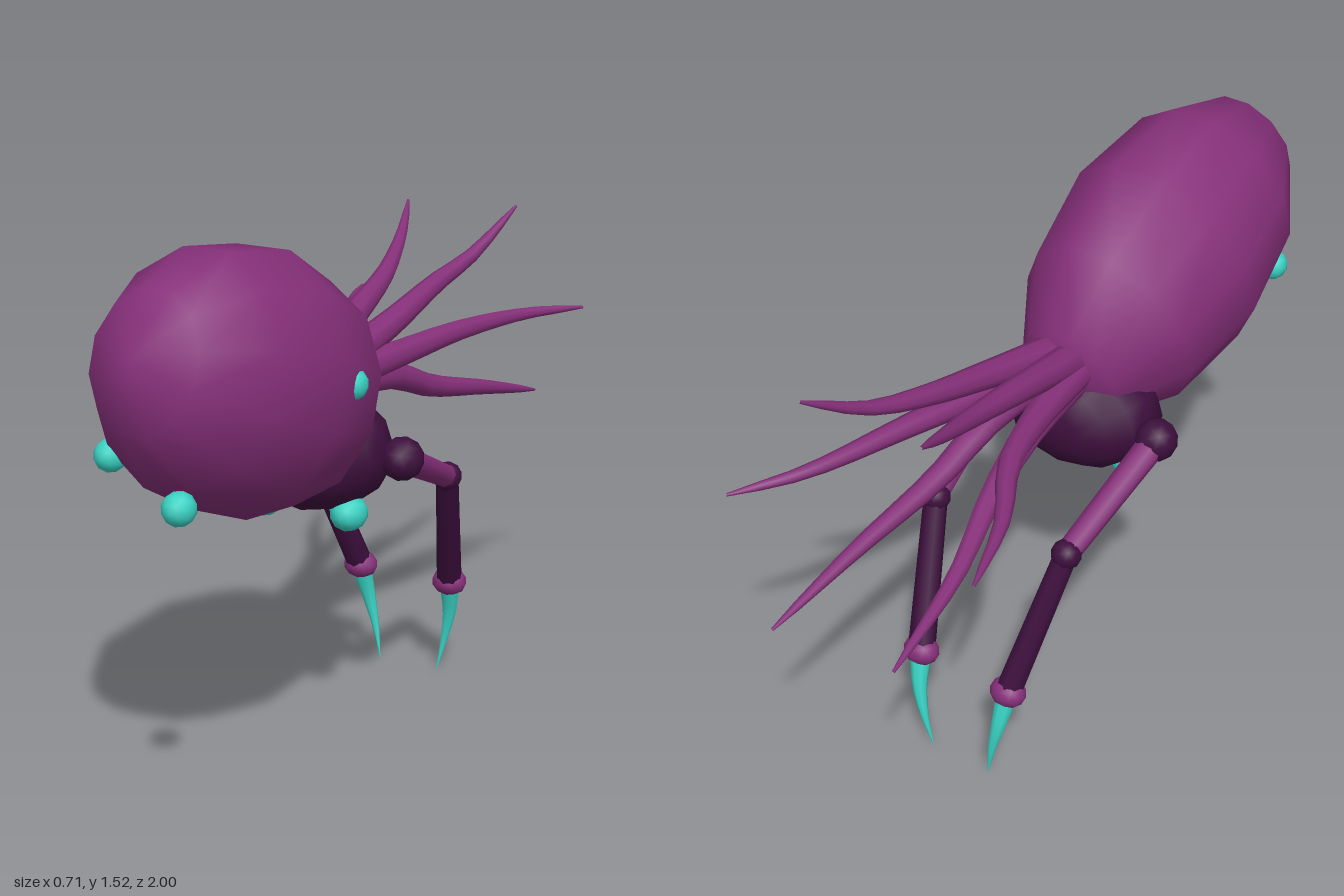
import * as THREE from 'three';

const V = (x, y, z) => new THREE.Vector3(x, y, z);

export function createModel() {
  const group = new THREE.Group();
  const mat = (name, color) => {
    const m = new THREE.MeshStandardMaterial({ color });
    m.name = name;
    return m;
  };
  const purple = mat('purple skin', 0x86307a);
  const dark = mat('dark plum', 0x3d0f3d);
  const teal = mat('teal glow', 0x3ad3c4);

  const add = (name, geometry, material, pos) => {
    const mesh = new THREE.Mesh(geometry, material);
    mesh.name = name;
    if (pos) mesh.position.copy(pos);
    group.add(mesh);
    return mesh;
  };

  // Small rounded ball with a vertex facing forward
  const ball = (name, pos, rx, ry, rz, material) => {
    const g = new THREE.IcosahedronGeometry(1, 1);
    g.rotateX(Math.atan(2 / (1 + Math.sqrt(5))));
    g.scale(rx, ry, rz);
    return add(name, g, material, pos);
  };

  // Straight limb from a to b
  const limb = (name, a, b, ra, rb, material) => {
    const d = b.clone().sub(a);
    const mesh = add(name, new THREE.CylinderGeometry(rb, ra, d.length(), 8), material,
      a.clone().add(b).multiplyScalar(0.5));
    mesh.quaternion.setFromUnitVectors(V(0, 1, 0), d.normalize());
  };

  // Curved tube whose radius follows the function radius(t)
  const taper = (name, points, radius, steps, sides, material) => {
    const path = new THREE.CatmullRomCurve3(points);
    const g = new THREE.TubeGeometry(path, steps, 1, sides);
    const p = g.attributes.position;
    const v = V(0, 0, 0);
    for (let i = 0; i <= steps; i++) {
      const c = path.getPointAt(i / steps);
      for (let j = 0; j <= sides; j++) {
        const k = i * (sides + 1) + j;
        v.fromBufferAttribute(p, k).sub(c).multiplyScalar(radius(i / steps)).add(c);
        p.setXYZ(k, v.x, v.y, v.z);
      }
    }
    add(name, g, material);
  };

  // Large egg-shaped body, tilted up at the front
  const body = new THREE.SphereGeometry(1, 12, 6);
  body.rotateY(Math.PI / 12);
  body.rotateX(Math.PI / 2);
  body.scale(0.3, 0.35, 0.535);
  body.rotateX(-Math.PI / 9);
  add('body', body, purple, V(0, 1.15, 0.475));

  // Dark head under the rear of the body
  const head = new THREE.SphereGeometry(1, 12, 8);
  head.rotateX(Math.PI / 2);
  head.scale(0.23, 0.175, 0.175);
  add('head', head, dark, V(0, 0.872, 0.105));

  // Scattered glowing spots and the pair of eyes
  ball('frontSpot', V(0.113, 0.985, 0.955), 0.043, 0.043, 0.045, teal);
  ball('sideFrontSpot', V(-0.18, 1.022, 0.795), 0.043, 0.043, 0.045, teal);
  ball('flankSpot', V(0.256, 1.15, 0.37), 0.043, 0.043, 0.043, teal);
  for (const s of [1, -1]) ball('eye', V(s * 0.128, 0.714, 0.14), 0.052, 0.05, 0.055, teal);

  // Jointed clawed legs
  for (const s of [1, -1]) {
    const shoulder = V(s * 0.253, 0.867, 0.077);
    const elbow = V(s * 0.215, 0.7, -0.288);
    const wrist = V(s * 0.147, 0.308, -0.463);
    ball('shoulder', shoulder, 0.06, 0.06, 0.06, dark);
    limb('upperLeg', shoulder, elbow, 0.04, 0.033, purple);
    ball('elbow', elbow, 0.042, 0.042, 0.042, dark);
    limb('lowerLeg', elbow, wrist, 0.033, 0.038, dark);
    ball('wrist', wrist, 0.053, 0.042, 0.045, purple);
    taper('claw', [
      V(s * 0.147, 0.3, -0.467), V(s * 0.135, 0.2, -0.494),
      V(s * 0.115, 0.1, -0.502), V(s * 0.095, 0, -0.495),
    ], t => 0.03 * (1 - t) + 0.001, 8, 8, teal);
  }

  // Six trailing tentacles
  const tentacles = [
    // upper pair
    [[0.03, 1.08, 0.02], [0.06, 1.14, -0.25], [0.08, 1.2, -0.48], [0.115, 1.25, -0.65], [0.165, 1.36, -0.84]],
    [[-0.03, 1.08, 0.02], [-0.055, 1.15, -0.25], [-0.08, 1.21, -0.48], [-0.125, 1.28, -0.67], [-0.172, 1.35, -0.81]],
    // outer pair
    [[0.045, 1.05, 0.02], [0.1, 1.06, -0.25], [0.155, 1.07, -0.48], [0.245, 1.065, -0.76], [0.35, 1.057, -0.93]],
    [[-0.045, 1.05, 0.02], [-0.09, 1.06, -0.25], [-0.155, 1.07, -0.45], [-0.265, 1.06, -0.63], [-0.35, 1.057, -0.86]],
    // lower pair
    [[0.035, 1.02, 0.02], [0.065, 0.99, -0.23], [0.09, 0.91, -0.43], [0.135, 0.84, -0.7], [0.175, 0.757, -1]],
    [[-0.035, 1.02, 0.02], [-0.06, 1, -0.23], [-0.08, 0.93, -0.42], [-0.135, 0.845, -0.65], [-0.175, 0.77, -0.96]],
  ];
  for (const pts of tentacles) {
    taper('tentacle', pts.map(p => V(...p)),
      t => 0.043 * Math.pow(1 - t, 0.7) + 0.004, 12, 8, purple);
  }

  return group;
}
